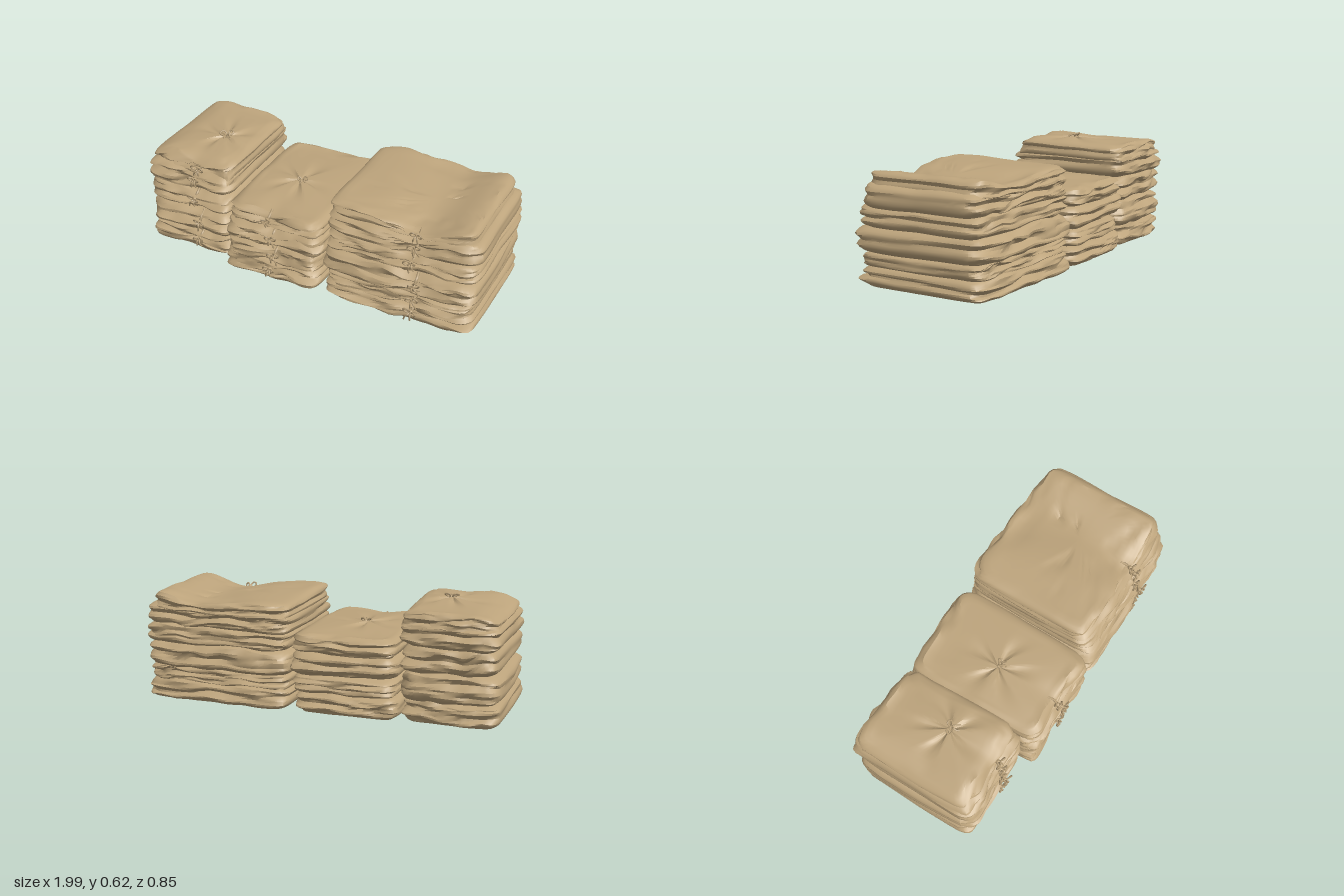
import * as THREE from 'three';
import { toCreasedNormals } from 'three/addons/utils/BufferGeometryUtils.js';

const cloth = new THREE.MeshStandardMaterial({ color: 0xbda47c });
cloth.name = 'tan cloth';

// Smooth repeatable value noise in the range -1..1
const hash = (x, y, z) => {
  const s = Math.sin(x * 127.1 + y * 311.7 + z * 74.7) * 43758.5453;
  return (s - Math.floor(s)) * 2 - 1;
};
const mix = THREE.MathUtils.lerp;
function noise(x, y, z) {
  const i = Math.floor(x), j = Math.floor(y), k = Math.floor(z);
  const f = x - i, g = y - j, h = z - k;
  const row = (b, c) => mix(hash(i, b, c), hash(i + 1, b, c), f);
  return mix(mix(row(j, k), row(j + 1, k), g), mix(row(j, k + 1), row(j + 1, k + 1), g), h);
}
const bump = (d, w) => Math.exp(-(d * d) / (w * w));

// Rings from the bottom centre, up the puffy side, to the top knot point
const AROUND = 88, SIDE = 14;
const rings = [[0, 0], [0.6, 0]];
for (let i = 0; i <= SIDE; i++) rings.push([1, (1 - Math.cos((i / SIDE) * Math.PI)) * 0.25 + (i / SIDE) * 0.5]);
for (const s of [0.93, 0.84, 0.72, 0.6, 0.48, 0.36, 0.25, 0.15, 0.07, 0]) rings.push([s, 1]);

// One folded cloth bundle: puffy block with a wandering fold, crumpled ends and a pinched front
function bundleGeometry({ x0, x1, z0, z1, y0, y1, tieX, seed, lift, knot, skew }) {
  const a = (x1 - x0) / 2, b = (z1 - z0) / 2, h = y1 - y0;
  const cx = (x0 + x1) / 2, cz = (z0 + z1) / 2;
  const pos = [], index = [];
  for (const [shrink, t] of rings) {
    for (let i = 0; i < AROUND; i++) {
      // walk a square, then round its corners
      const side = Math.floor((i * 4) / AROUND), q = ((i * 4) / AROUND - side) * 2 - 1;
      let [u, v] = [[1, q], [-q, 1], [-1, -q], [q, -1]][side];
      const r = Math.pow(Math.abs(u) ** 16 + Math.abs(v) ** 16, -1 / 16);
      u *= r; v *= r;
      const end = THREE.MathUtils.smoothstep(Math.abs(v), 0.82, 0.97);
      const wx = cx + u * a, wz = cz + v * b;
      const pinch = v > 0.9 ? bump(wx - tieX, 0.1) : 0;
      const s2 = Math.abs(2 * t - 1);
      // round side, flatter at the floor, with one fold and pleats that are deeper at the ends
      const flat = y0 === 0 && t < 0.5 ? 0.7 : 1;
      const fold = 0.56 + 0.2 * noise(wx * 3.5, seed, wz * 2.5);
      const depth = Math.max(0, 0.11 + 0.07 * end + 0.1 * noise(wx * 4, seed + 5, wz * 3));
      let inset = h * (flat * 0.42 * s2 ** 4 + depth * bump(t - fold, 0.11));
      const ripple = Math.abs(Math.sin(t * 8 + 2.5 * noise(wx * 5, seed + 9, wz * 3)));
      inset += end * 0.015 * (1 - ripple) * (1 - s2 ** 4) + pinch * 0.02 * (1 - s2);
      inset += 0.009 + 0.009 * noise(wx * 4, seed + t * 1.5, wz * 4);
      inset += end * 0.016 * noise(wx * 13, seed + t * 4, wz * 13);
      // edges bow out slightly in plan
      const ea = Math.max(a - inset - 0.008 * v ** 4, 0.01);
      const eb = Math.max(b - inset - (v > 0 ? 0.6 * skew : 0.008) * u ** 4, 0.01);
      // the top closes on the knot, the bottom on the middle
      const top = t === 1;
      const ox = top ? tieX : cx, oz = top ? -0.01 : cz;
      const x = mix(ox, cx + u * ea, shrink), zs = mix(oz, cz + v * eb, shrink);
      const z = zs + (zs < 0 ? (skew * (x - cx) * -zs) / b / a : 0);
      let y = y0 + h * (0.5 + (t - 0.5) * (1 - 0.25 * pinch * shrink ** 3));
      y += 0.013 * noise(x * 3.5, seed + 3, z * 3.5) * t;
      if (shrink === 1) y += (0.005 + 0.009 * end) * noise(x * 10, seed + t * 4, z * 8);
      if (top) {
        // soft crown with uneven creases: radiating from a knot, or scattered dents
        const ang = Math.atan2(z - oz, x - ox), d = Math.hypot(x - ox, z - oz);
        y += 0.009 * (1 - shrink ** 2);
        y -= knot
          ? 0.013 * Math.max(0, Math.sin(ang * 5 + seed + 2 * noise(x * 5, seed, z * 5))) * bump(d - 0.07, 0.1)
          : 0.04 * Math.max(0, noise(x * 10, seed + 7, z * 18) - 0.15) * bump(d, 0.32);
      }
      if (lift) y += lift(x, z) * t;
      pos.push(x, t === 0 && y0 === 0 ? 0 : Math.max(0, y), z);
    }
  }
  for (let j = 0; j < rings.length - 1; j++) {
    for (let i = 0; i < AROUND; i++) {
      const p = j * AROUND + i, n = j * AROUND + ((i + 1) % AROUND);
      index.push(p, p + AROUND, n, n, p + AROUND, n + AROUND);
    }
  }
  const g = new THREE.BufferGeometry();
  g.setAttribute('position', new THREE.Float32BufferAttribute(pos, 3));
  g.setIndex(index);
  return toCreasedNormals(g, 0.55);
}

function cord(points, radius, name) {
  const curve = new THREE.CatmullRomCurve3(points.map((p) => new THREE.Vector3(...p)));
  const m = new THREE.Mesh(new THREE.TubeGeometry(curve, 12, radius, 5), cloth);
  m.name = name;
  return m;
}

// Small tied bow facing +z: knot, two loops and two hanging tails
function bow(seed) {
  const g = new THREE.Group();
  g.name = 'bow';
  const knot = new THREE.Mesh(new THREE.SphereGeometry(0.013, 8, 6), cloth);
  knot.name = 'knot';
  g.add(knot);
  for (const s of [-1, 1]) {
    const k = 1 + 0.3 * hash(seed, s, 1);
    g.add(cord([[0, 0, 0], [s * 0.018, 0.02 * k, 0.02], [s * 0.032 * k, 0.01, 0.018],
      [s * 0.022, -0.006, 0.01], [0, 0, 0.004]], 0.0045, 'bowLoop'));
    g.add(cord([[0, 0, 0], [s * 0.008, -0.01, 0.02], [s * 0.012 * k, -0.026, 0.018],
      [s * 0.016, -0.042 * k, 0.012]], 0.0045, 'bowTail'));
  }
  return g;
}

// Tie at the front of a bundle: a cord over the pinched edge with a bow
function frontTie({ z1, y0, y1, tieX, seed, lift }) {
  const g = new THREE.Group();
  g.name = 'frontTie';
  const d = lift ? lift(tieX, z1) : 0, h = y1 - y0, mid = y0 + h * 0.55 + d * 0.5;
  g.add(cord([[tieX, y0 + h * 0.14, z1 - 0.07], [tieX - 0.006, y0 + h * 0.27, z1 - 0.035],
    [tieX, mid, z1 - 0.026], [tieX + 0.006, y1 - h * 0.2 + d, z1 - 0.04],
    [tieX, y1 - h * 0.08 + d, z1 - 0.08]], 0.008, 'tieCord'));
  const b = bow(seed);
  b.position.set(tieX, mid + 0.005, z1 - 0.018);
  b.rotation.z = 0.4 * hash(seed, 2, 3);
  g.add(b);
  return g;
}

// The wide stack sags over its tie and rises toward the outer edge
const sag = (x, z) => -0.045 * bump(x - 0.66, 0.2) * (z > 0 ? 1 : 0.5 + 0.5 * bump(z, 0.3))
  + 0.022 * bump(x - 0.88, 0.12);
// The narrow stack droops at its outer edge and its front
const droop = (x, z) => -0.03 * THREE.MathUtils.smoothstep(-x, 0.84, 1)
  - 0.03 * THREE.MathUtils.smoothstep(z, 0.2, 0.33);

// Each bundle: x0, x1, z0, z1, y0, y1, optional lift
const stacks = [
  { name: 'narrowStack', tieX: -0.66, skew: 0.01, knot: [-0.64, 0.588, -0.01], bundles: [
    [-1, -0.46, -0.415, 0.315, 0, 0.125],
    [-1, -0.45, -0.425, 0.335, 0.115, 0.265],
    [-0.985, -0.455, -0.415, 0.325, 0.26, 0.4],
    [-1, -0.445, -0.425, 0.325, 0.39, 0.525],
    [-0.98, -0.45, -0.415, 0.3, 0.475, 0.582, droop],
  ] },
  { name: 'lowStack', tieX: -0.17, skew: 0, knot: [-0.17, 0.425, -0.01], bundles: [
    [-0.475, 0.12, -0.43, 0.385, 0, 0.115],
    [-0.46, 0.125, -0.43, 0.39, 0.105, 0.215],
    [-0.47, 0.14, -0.445, 0.395, 0.205, 0.335],
    [-0.455, 0.13, -0.435, 0.38, 0.32, 0.42],
  ] },
  { name: 'wideStack', tieX: 0.65, skew: 0.022, bundles: [
    [0.125, 0.985, -0.42, 0.38, 0, 0.105],
    [0.135, 0.975, -0.405, 0.385, 0.095, 0.18],
    [0.115, 1, -0.425, 0.405, 0.17, 0.315],
    [0.135, 0.995, -0.405, 0.375, 0.3, 0.41],
    [0.12, 1, -0.4, 0.36, 0.395, 0.515, (x, z) => sag(x, z) * 0.5],
    [0.13, 0.955, -0.4, 0.33, 0.475, 0.57, sag],
  ] },
];

export function createModel() {
  const model = new THREE.Group();
  model.name = 'foldedClothStacks';
  let seed = 1;
  for (const { name, tieX, knot, skew, bundles } of stacks) {
    const stack = new THREE.Group();
    stack.name = name;
    for (const [x0, x1, z0, z1, y0, y1, lift] of bundles) {
      seed += 13.37;
      const spec = { x0, x1, z0, z1, y0, y1, lift, knot, skew, seed, tieX: tieX + 0.02 * hash(seed, 1, 1) };
      const mesh = new THREE.Mesh(bundleGeometry(spec), cloth);
      mesh.name = 'clothBundle';
      stack.add(mesh, frontTie(spec));
    }
    if (knot) {
      const top = bow(seed);
      top.name = 'topBow';
      top.position.set(...knot);
      top.rotation.set(-1.35, 0, 0.5);
      stack.add(top);
    }
    model.add(stack);
  }
  return model;
}
